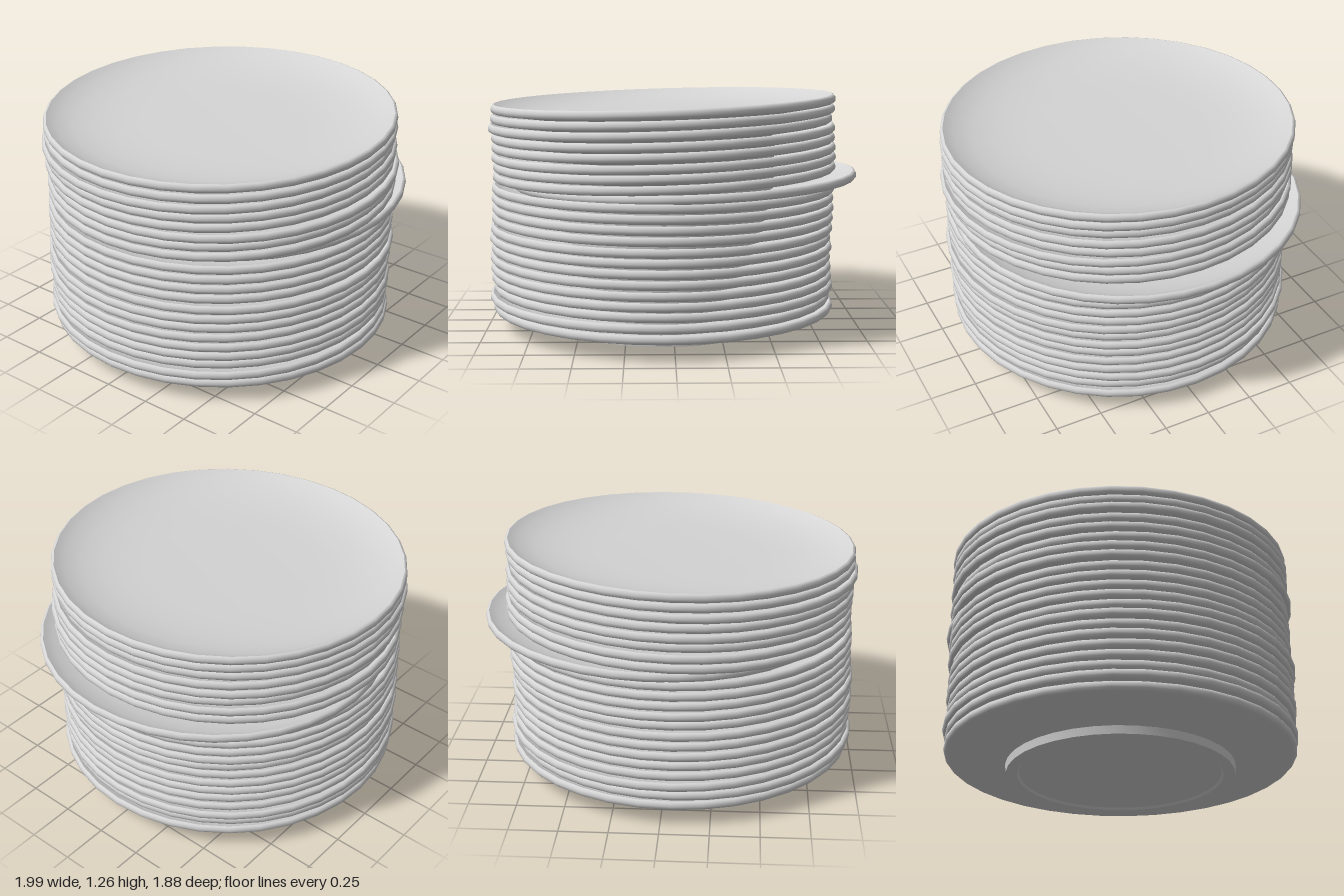
import * as THREE from 'three';
import { toCreasedNormals } from 'three/addons/utils/BufferGeometryUtils.js';

// Cross-section of one plate: recessed base, foot ring, flared underside, rounded rim, shallow dish
const PROFILE = [
  [0, 0.012], [0.53, 0.012], [0.54, 0], [0.6, 0], [0.605, 0.042],
  [0.905, 0.088], [0.918, 0.092], [0.926, 0.101], [0.928, 0.113], [0.926, 0.125], [0.92, 0.133], [0.912, 0.136],
  [0.902, 0.13], [0.86, 0.109], [0.77, 0.083], [0.66, 0.066], [0.55, 0.057], [0.44, 0.053], [0, 0.053],
];

// Small sideways offset [x, z] of each plate, from the bottom up
const LOWER = [
  [-0.052, 0], [-0.07, 0], [-0.052, -0.012], [-0.06, 0], [-0.064, 0.004], [-0.067, -0.004], [-0.06, 0],
  [-0.068, 0], [-0.06, 0.013], [-0.055, -0.004], [-0.053, 0], [-0.055, -0.003], [-0.052, 0],
];
const UPPER = [
  [-0.047, 0], [-0.045, -0.004], [-0.05, 0.016], [-0.052, -0.006], [-0.052, 0], [-0.068, -0.006], [-0.055, 0], [-0.052, -0.005],
];
const RIM = 0.113; // height of the rim above the foot
const TILT = 0.03;

export function createModel() {
  const group = new THREE.Group();
  group.name = 'plateStack';
  const ceramic = new THREE.MeshStandardMaterial({ color: 0xd4d4d4 });
  ceramic.name = 'light grey ceramic';

  const lathe = new THREE.LatheGeometry(PROFILE.map(([r, y]) => new THREE.Vector2(r, y)), 36);
  const geometry = toCreasedNormals(lathe, 0.65);

  function addPlate(name, x, rimY, z, tilt = 0) {
    const plate = new THREE.Mesh(geometry, ceramic);
    plate.name = name;
    plate.position.set(x + RIM * Math.sin(tilt), rimY - RIM * Math.cos(tilt), z);
    plate.rotation.z = tilt;
    group.add(plate);
  }

  // Level lower stack
  LOWER.forEach(([x, z], i) => addPlate(`lowerPlate${i + 1}`, x, RIM + i * 0.0535, z));

  // Plate pushed out to one side, which tips everything above it
  addPlate('shiftedPlate', 0.065, 0.8, 0, TILT);

  // Tilted upper stack
  UPPER.forEach(([x, z], i) => addPlate(`upperPlate${i + 1}`, x, 0.845 + i * 0.0515, z, TILT));

  return group;
}
